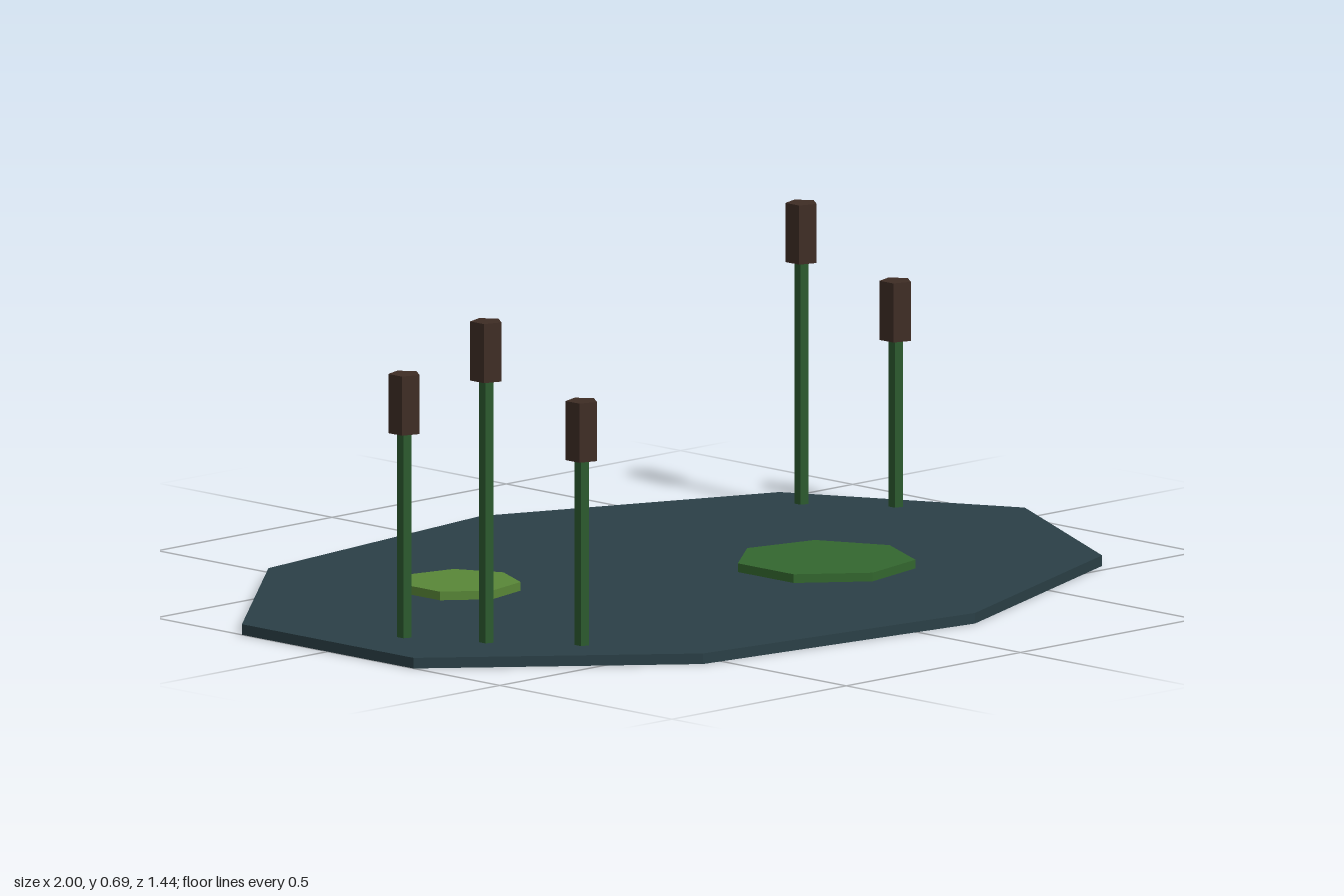
import * as THREE from 'three';

const material = (color) => new THREE.MeshStandardMaterial({ color, flatShading: true });

export function createModel() {
  const model = new THREE.Group();
  const water = material(0x2b4047);
  const darkLeaf = material(0x34682f);
  const lightLeaf = material(0x5a8838);
  const stemGreen = material(0x2c5a2f);
  const brown = material(0x3f2d25);

  // Upright low-poly prism from y0 to y1, with one corner pointing to +x
  function prism(name, mat, sides, radius, x, z, y0, y1, parent = model) {
    const geometry = new THREE.CylinderGeometry(radius, radius, y1 - y0, sides);
    geometry.rotateY(Math.PI / 2);
    const mesh = new THREE.Mesh(geometry, mat);
    mesh.name = name;
    mesh.position.set(x, (y0 + y1) / 2, z);
    parent.add(mesh);
    return mesh;
  }

  // Pond: nine-sided slab, narrowed in depth
  const pond = prism('pond', water, 9, 1.031, -0.031, 0, 0, 0.022);
  pond.scale.z = 0.707;

  // Lily pads
  prism('largeLilyPad', darkLeaf, 7, 0.187, 0.275, 0.152, 0.012, 0.04);
  prism('smallLilyPad', lightLeaf, 7, 0.124, -0.424, -0.198, 0.012, 0.04);

  // Cattails: x, z, top height
  const cattails = [
    [-0.857, 0.079, 0.57],
    [-0.776, 0.235, 0.69],
    [-0.657, 0.392, 0.53],
    [0.708, -0.352, 0.648],
    [0.823, -0.195, 0.492],
  ];
  for (const [x, z, top] of cattails) {
    const cattail = new THREE.Group();
    cattail.name = 'cattail';
    prism('stem', stemGreen, 5, 0.0155, x, z, 0.01, top - 0.1, cattail);
    prism('seedHead', brown, 5, 0.034, x, z, top - 0.123, top, cattail);
    model.add(cattail);
  }

  // The slab depth is set from its nine-sided outline
  pond.scale.z = 0.707;
  return model;
}
